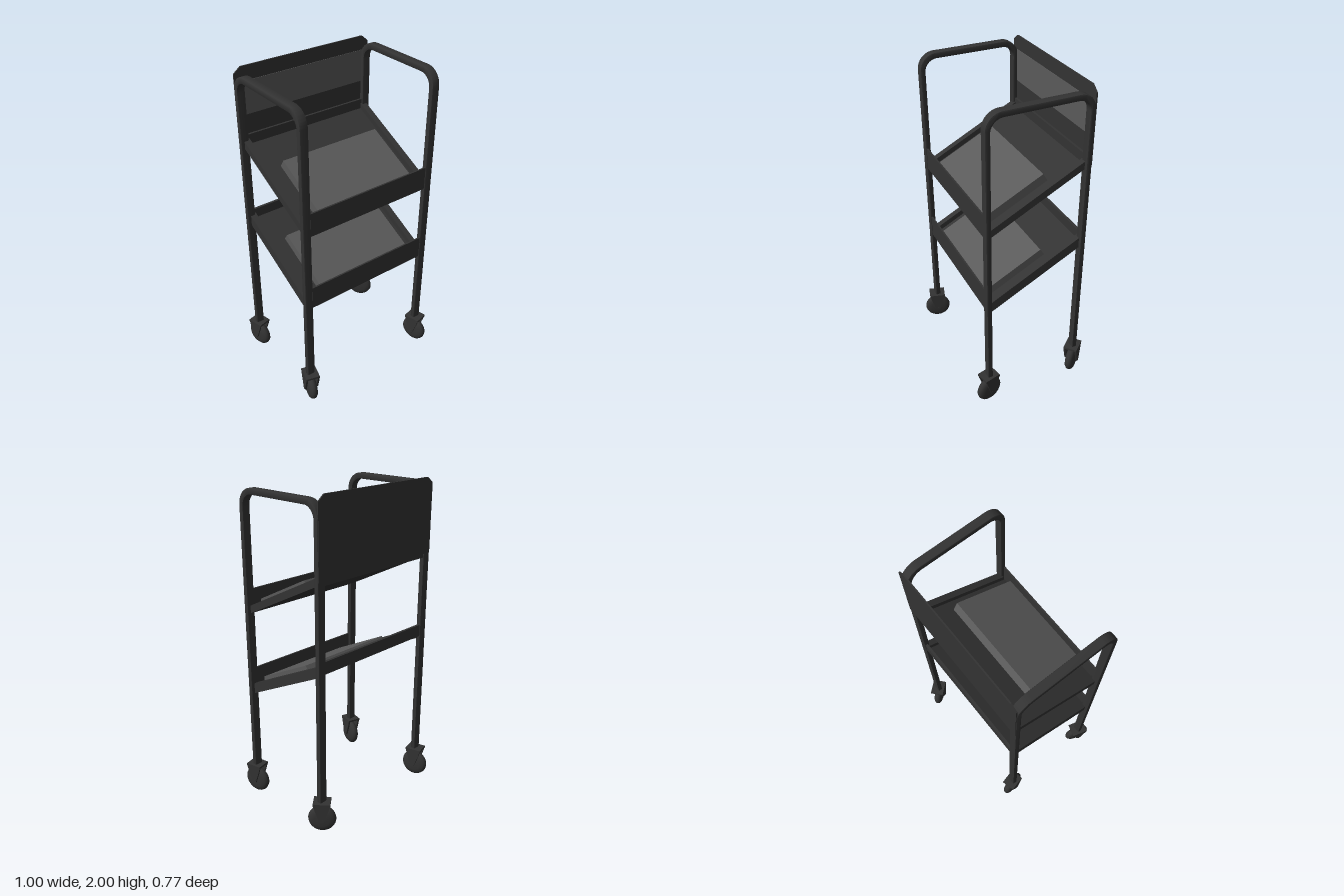
import * as THREE from 'three';
import { toCreasedNormals } from 'three/addons/utils/BufferGeometryUtils.js';

const DARK = 0x333333, LIGHT = 0x5a5a5a;
const LEFT = 0.431, RIGHT = -0.447;   // leg centre lines
const X0 = -0.42, X1 = 0.405;         // clear width between the side frames
const Z = 0.316;                      // half depth of the side frames

const material = (color) => new THREE.MeshStandardMaterial({ color });
const dark = material(DARK), light = material(LIGHT);

function add(parent, name, geometry, mat = dark) {
  const mesh = new THREE.Mesh(geometry, mat);
  mesh.name = name;
  parent.add(mesh);
  return mesh;
}

// Extrude a side outline, given as (z, y), from x0 to x1
function sideExtrude(shape, x0, x1, bevel = 0) {
  const g = new THREE.ExtrudeGeometry(shape, {
    depth: x1 - x0 - 2 * bevel, curveSegments: 10, bevelEnabled: bevel > 0,
    bevelSize: bevel, bevelThickness: bevel, bevelOffset: -bevel, bevelSegments: 2,
  });
  g.rotateY(-Math.PI / 2);
  g.translate(x1 - bevel, 0, 0);
  return toCreasedNormals(g, 0.6);
}

const polygon = (pts) => new THREE.Shape(pts.map(([a, b]) => new THREE.Vector2(a, b)));

// Box from its lower and upper corners
function box(x0, x1, y0, y1, z0, z1) {
  return new THREE.BoxGeometry(x1 - x0, y1 - y0, z1 - z0)
    .translate((x0 + x1) / 2, (y0 + y1) / 2, (z0 + z1) / 2);
}

// Upside-down U: two legs joined by a handle with rounded corners
function frameShape() {
  const top = 1.975, t = 0.032, r = 0.1, ri = 0.072, foot = 0.2;
  const zi = Z - t, ti = top - 0.036;
  const s = new THREE.Shape();
  s.moveTo(-Z, foot);
  s.lineTo(-zi, foot);
  s.lineTo(-zi, ti - ri);
  s.absarc(-zi + ri, ti - ri, ri, Math.PI, Math.PI / 2, true);
  s.lineTo(zi - ri, ti);
  s.absarc(zi - ri, ti - ri, ri, Math.PI / 2, 0, true);
  s.lineTo(zi, foot);
  s.lineTo(Z, foot);
  s.lineTo(Z, top - r);
  s.absarc(Z - r, top - r, r, 0, Math.PI / 2, false);
  s.lineTo(-Z + r, top);
  s.absarc(-Z + r, top - r, r, Math.PI / 2, Math.PI, false);
  s.lineTo(-Z, foot);
  return s;
}

// Sloping tray; base is the height of its underside at the front
function makeShelf(name, base, railDepth, matTop) {
  const shelf = new THREE.Group();
  shelf.name = name;
  const y = (z) => base + 0.5 * (0.31 - z);
  const strip = (za, zb, lo, hi) =>
    polygon([[za, y(za) + lo], [za, y(za) + hi], [zb, y(zb) + hi], [zb, y(zb) + lo]]);

  add(shelf, 'shelfFloor', sideExtrude(strip(0.305, -0.305, 0, 0.012), X0, X1));
  // side rails between the legs
  for (const [a, b] of [[RIGHT - 0.005, X0 + 0.008], [X1 - 0.008, LEFT + 0.005]])
    add(shelf, 'shelfRail', sideExtrude(strip(0.295, -0.295, 0.047 - railDepth, 0.047), a, b));
  add(shelf, 'frontLip', box(X0, X1, base + 0.013, base + 0.153, 0.302, 0.312));
  add(shelf, 'backLip', box(X0, X1, base + 0.3, base + 0.375, -0.312, -0.296));
  // raised pad, cut square to the slope at the back
  const back = -0.083, end = back - 0.03;
  add(shelf, 'shelfPad', sideExtrude(polygon([
    [0.302, y(0.302) + 0.008], [0.302, y(0.302) + matTop],
    [back, y(back) + matTop], [end, y(end) + 0.008],
  ]), -0.327, 0.342), light);
  return shelf;
}

// Domed wheel held by a tapering fork, turned about the leg
function makeCaster(x, z, turn) {
  const caster = new THREE.Group();
  caster.name = 'caster';
  const profile = [[0, -0.03], [0.045, -0.028], [0.068, -0.023], [0.081, -0.013], [0.085, 0],
    [0.081, 0.013], [0.068, 0.023], [0.045, 0.028], [0, 0.03]]
    .map(([r, h]) => new THREE.Vector2(r, h));
  const wheel = add(caster, 'wheel', new THREE.LatheGeometry(profile, 32));
  wheel.rotation.z = Math.PI / 2;
  wheel.position.y = 0.088;

  const plate = polygon([[-0.052, 0.205], [-0.042, 0.165], [-0.012, 0.078], [0.012, 0.078],
    [0.042, 0.165], [0.052, 0.205]].reverse());
  for (const side of [-1, 1]) {
    const cx = side * 0.038;
    add(caster, 'forkPlate', sideExtrude(plate, cx - 0.006, cx + 0.006));
  }
  add(caster, 'forkTop', box(-0.044, 0.044, 0.193, 0.206, -0.052, 0.052));
  const axle = add(caster, 'axle', new THREE.CylinderGeometry(0.011, 0.011, 0.09, 12));
  axle.rotation.z = Math.PI / 2;
  axle.position.y = 0.088;
  caster.position.set(x, 0, z);
  caster.rotation.y = turn;
  return caster;
}

export function createModel() {
  const cart = new THREE.Group();
  cart.name = 'shelfCart';

  // side frames
  for (const [name, x] of [['leftFrame', LEFT], ['rightFrame', RIGHT]])
    add(cart, name, sideExtrude(frameShape(), x - 0.026, x + 0.026, 0.007));

  // back board with clipped top corners, and its light band
  const board = new THREE.ExtrudeGeometry(polygon([
    [RIGHT - 0.022, 1.55], [LEFT + 0.022, 1.55], [LEFT + 0.022, 1.965],
    [X1 + 0.005, 2], [X0 - 0.005, 2], [RIGHT - 0.022, 1.965],
  ]), { depth: 0.008, bevelEnabled: false });
  board.translate(0, 0, -0.318);
  add(cart, 'backBoard', board);
  add(cart, 'backBand', box(X0, X1, 1.718, 1.915, -0.311, -0.307), light);

  // trays
  cart.add(makeShelf('upperShelf', 1.225, 0.047, 0.073));
  cart.add(makeShelf('lowerShelf', 0.72, 0.066, 0.067));

  // casters, each swivelled its own way
  cart.add(makeCaster(RIGHT, 0.302, -0.28));
  cart.add(makeCaster(LEFT, 0.302, 0.23));
  cart.add(makeCaster(RIGHT, -0.304, 0.24));
  cart.add(makeCaster(LEFT, -0.302, 0.7));
  return cart;
}
